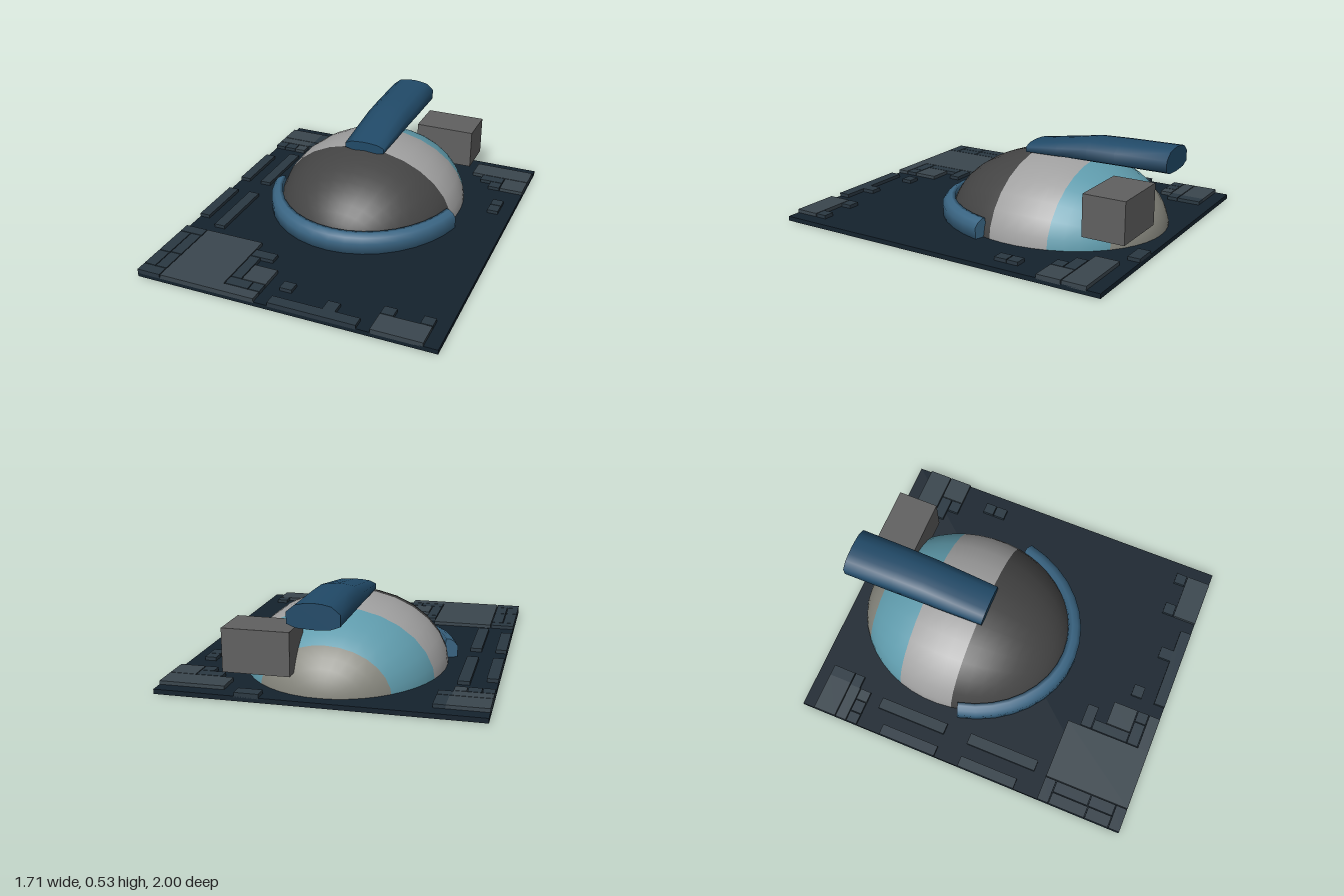
import * as THREE from 'three';

const DOME = { rx: 0.56, ry: 0.415, rz: 0.64, z: -0.295 };

function mat(color, extra = {}) {
  return new THREE.MeshStandardMaterial({ color, ...extra });
}

function add(group, name, geometry, material) {
  const mesh = new THREE.Mesh(geometry, material);
  mesh.name = name;
  group.add(mesh);
  return mesh;
}

// Box given by its limits on each axis
function boxBetween(x0, x1, y0, y1, z0, z1) {
  return new THREE.BoxGeometry(x1 - x0, y1 - y0, z1 - z0)
    .translate((x0 + x1) / 2, (y0 + y1) / 2, (z0 + z1) / 2);
}

// Slice of the half ellipsoid between two z planes
function domeBand(zFront, zBack) {
  const theta = z => Math.acos(THREE.MathUtils.clamp((z - DOME.z) / DOME.rz, -1, 1));
  const t0 = theta(zFront), t1 = theta(zBack);
  const rows = Math.max(3, Math.round((t1 - t0) / 0.13));
  return new THREE.SphereGeometry(1, 14, rows, Math.PI, Math.PI, t0, t1 - t0)
    .rotateX(Math.PI / 2)
    .scale(DOME.rx, DOME.ry, DOME.rz)
    .translate(0, 0, DOME.z);
}

// Loft of matching rings of points, capped at both ends
function loft(rings) {
  const pos = [], index = [], n = rings[0].length;
  rings.forEach(r => r.forEach(p => pos.push(...p)));
  for (let i = 0; i < rings.length - 1; i++) {
    for (let j = 0; j < n; j++) {
      const a = i * n + j, b = i * n + (j + 1) % n;
      index.push(a, b, a + n, b, b + n, a + n);
    }
  }
  // separate cap vertices keep the end edges sharp
  [0, rings.length - 1].forEach(k => {
    const start = pos.length / 3;
    rings[k].forEach(p => pos.push(...p));
    for (let j = 1; j < n - 1; j++) {
      if (k === 0) index.push(start, start + j + 1, start + j);
      else index.push(start, start + j, start + j + 1);
    }
  });
  const g = new THREE.BufferGeometry();
  g.setAttribute('position', new THREE.Float32BufferAttribute(pos, 3));
  g.setIndex(index);
  g.computeVertexNormals();
  return g;
}

export function createModel() {
  const model = new THREE.Group();
  model.name = 'domedBuilding';

  // Ground plate
  add(model, 'groundPlate', boxBetween(-0.857, 0.857, 0, 0.026, -1, 1), mat(0x14222d));

  // Raised panels: x0, x1, z0, z1
  const lightPanels = [
    [-0.857, -0.64, -0.925, -0.79], [-0.857, -0.65, -0.785, -0.72], [-0.715, -0.65, -0.715, -0.65],
    [0.5, 0.857, -0.925, -0.79], [0.715, 0.857, -0.785, -0.65],
    [-0.715, -0.36, 0.5, 1], [-0.29, -0.15, 0.715, 0.86], [-0.36, -0.15, 0.935, 1],
    [0.5, 0.78, 0.86, 1],
  ];
  const darkPanels = [
    [-0.64, -0.575, -0.925, -0.79], [-0.65, -0.575, -0.785, -0.725],
    [-0.857, -0.795, -0.715, -0.65], [-0.79, -0.72, -0.715, -0.65],
    [0.57, 0.71, -0.785, -0.72], [0.64, 0.71, -0.715, -0.65], [0.29, 0.42, -1, -0.93],
    [-0.857, -0.795, -0.5, -0.15], [-0.857, -0.795, 0, 0.35],
    [-0.715, -0.65, -0.57, -0.15], [-0.715, -0.65, 0, 0.425],
    [0.715, 0.78, -0.5, -0.435], [0.715, 0.78, -0.43, -0.36],
    [-0.857, -0.72, 0.5, 0.565], [-0.857, -0.79, 0.57, 0.785], [-0.785, -0.72, 0.57, 0.78],
    [-0.857, -0.79, 0.79, 0.93], [-0.785, -0.72, 0.785, 0.93], [-0.857, -0.72, 0.935, 1],
    [-0.355, -0.22, 0.575, 0.64], [-0.355, -0.295, 0.645, 0.86],
    [-0.355, -0.22, 0.865, 0.93], [-0.215, -0.15, 0.865, 0.93],
    [-0.07, 0.425, 0.935, 1], [0.215, 0.285, 0.86, 0.935],
    [-0.07, 0, 0.79, 0.855], [0.5, 0.57, 0.79, 0.855], [0.715, 0.78, 0.79, 0.855],
  ];
  const panels = new THREE.Group();
  panels.name = 'groundPanels';
  model.add(panels);
  [[lightPanels, 0x3a464e], [darkPanels, 0x2a3842]].forEach(([list, color]) => {
    const material = mat(color);
    list.forEach(([x0, x1, z0, z1]) =>
      add(panels, 'groundPanel', boxBetween(x0, x1, 0.02, 0.046, z0, z1), material));
  });

  // Dome in four coloured bands, front to back
  const dome = new THREE.Group();
  dome.name = 'dome';
  model.add(dome);
  const zFront = DOME.z + DOME.rz, zBack = DOME.z - DOME.rz;
  [
    ['domeFront', zFront, -0.175, 0x444444],
    ['domeMiddle', -0.175, -0.515, 0xa0a0a0],
    ['domeStripe', -0.515, -0.795, 0x5f9bac],
    ['domeBack', -0.795, zBack, 0x85857c],
  ].forEach(([name, a, b, color]) =>
    add(dome, name, domeBand(a, b), mat(color, { side: THREE.DoubleSide })));

  // Curved rim hugging the front of the dome
  const rim = new THREE.Group();
  rim.name = 'frontRim';
  model.add(rim);
  const rimMat = mat(0x3a6583, { side: THREE.DoubleSide });
  const profile = [[0.53, 0.01], [0.61, 0.01], [0.612, 0.09], [0.592, 0.117], [0.565, 0.132], [0.545, 0.132], [0.53, 0.01]]
    .map(p => new THREE.Vector2(...p));
  const sweep = THREE.MathUtils.degToRad(75);
  const place = g => g.scale(1, 1, 1.139).translate(0, 0, DOME.z);
  add(rim, 'rimBody', place(new THREE.LatheGeometry(profile, 16, -sweep, 2 * sweep)), rimMat);
  [-1, 1].forEach(s => {
    const cap = new THREE.ShapeGeometry(new THREE.Shape(profile));
    add(rim, 'rimEnd', place(cap.rotateY(s * sweep - Math.PI / 2)), rimMat);
  });

  // Roof arm: rounded section, u across and v from bottom to top
  const section = [
    [-0.65, 0.04], [0, 0], [0.65, 0.04], [1, 0.18], [1, 0.63], [0.68, 0.9], [0.35, 0.97],
    [0, 1], [-0.35, 0.97], [-0.68, 0.9], [-1, 0.63], [-1, 0.18],
  ];
  // z, half width, bottom, top
  const stations = [
    [-0.145, 0.122, 0.395, 0.457], [-0.34, 0.127, 0.395, 0.49],
    [-0.53, 0.131, 0.396, 0.523], [-0.7, 0.134, 0.398, 0.529], [-1, 0.136, 0.4, 0.534],
  ];
  const rings = stations.map(([z, w, y0, y1]) =>
    section.map(([u, v]) => [u * w, y0 + v * (y1 - y0), z]).reverse());
  add(model, 'roofArm', loft(rings.reverse().map(r => r.slice().reverse())),
    mat(0x214a68, { side: THREE.DoubleSide }));

  // Equipment box at the back left
  add(model, 'equipmentBox', boxBetween(0.14, 0.497, 0.13, 0.362, -0.945, -0.705), mat(0x606060));

  return model;
}
